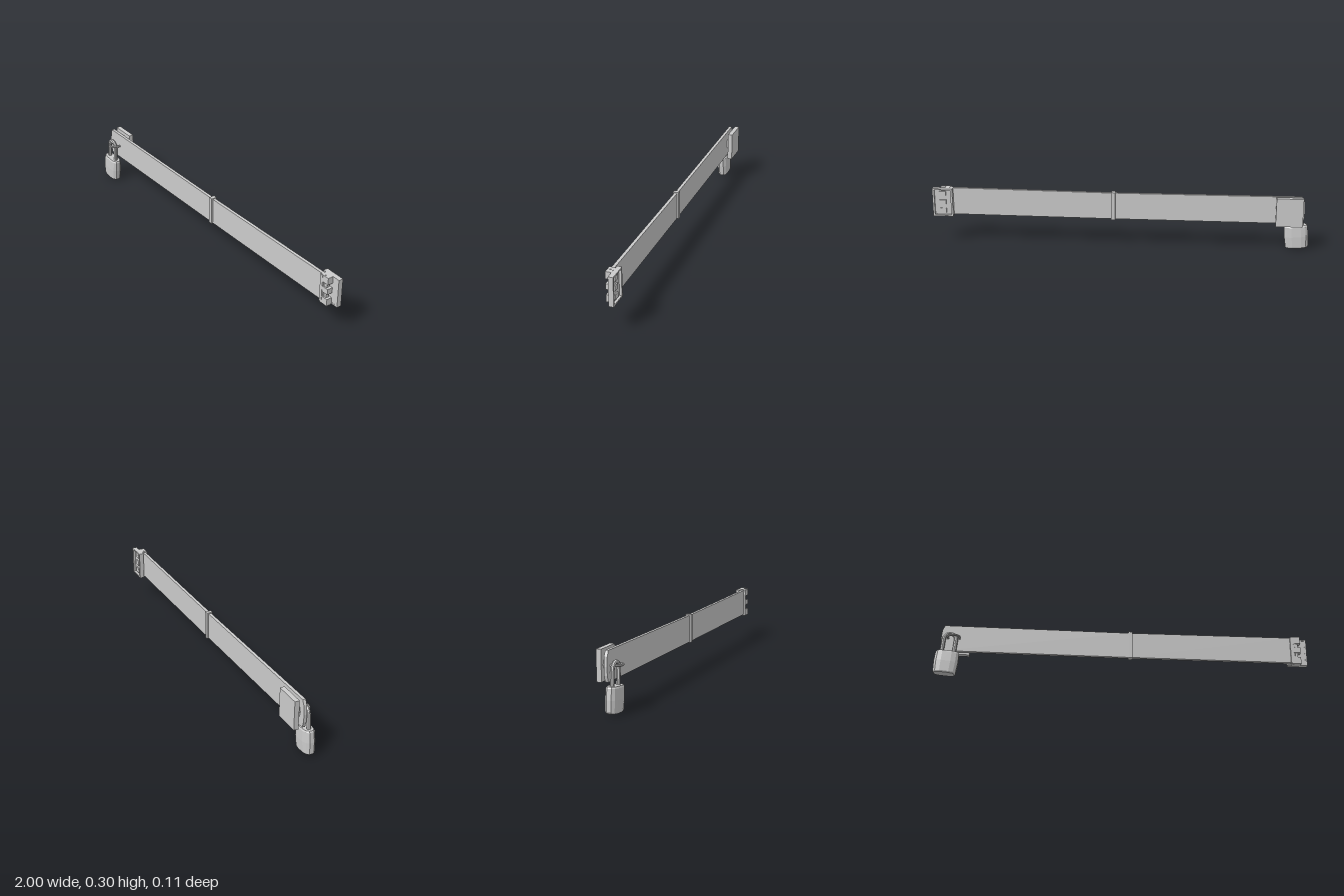
import * as THREE from 'three';

const mat = new THREE.MeshStandardMaterial({ color: 0xcccccc, flatShading: true, side: THREE.DoubleSide });

function add(parent, name, geometry, x = 0, y = 0, z = 0) {
  const mesh = new THREE.Mesh(geometry, mat);
  mesh.name = name;
  mesh.position.set(x, y, z);
  parent.add(mesh);
  return mesh;
}
const box = (parent, name, w, h, d, x, y, z) => add(parent, name, new THREE.BoxGeometry(w, h, d), x, y, z);

function polygon(points) {
  return new THREE.Shape(points.map(([x, y]) => new THREE.Vector2(x, y)));
}

// Flat bar section, leaning slightly backwards toward +x
function barSection(parent, name, points, z0, z1) {
  const g = new THREE.ExtrudeGeometry(polygon(points), { depth: 0.016, bevelEnabled: false });
  const p = g.attributes.position;
  for (let i = 0; i < p.count; i++) {
    const t = (p.getX(i) + 0.97) / 1.9;
    p.setZ(i, p.getZ(i) - 0.008 + z0 + (z1 - z0) * t);
  }
  g.computeVertexNormals();
  add(parent, name, g);
}

function buildHinge() {
  const hinge = new THREE.Group();
  hinge.name = 'hinge';
  // Mounting plate with a rim and three square recesses on its back
  const plate = polygon([[0.89, 0.145], [0.998, 0.145], [0.998, 0.299], [0.89, 0.299]]);
  const recess = polygon([[0.90, 0.153], [0.988, 0.153], [0.988, 0.291], [0.90, 0.291]]);
  plate.holes.push(recess);
  add(hinge, 'hingePlateRim', new THREE.ExtrudeGeometry(plate, { depth: 0.025, bevelEnabled: false }), 0, 0, -0.055);
  box(hinge, 'hingePlateFace', 0.106, 0.152, 0.012, 0.944, 0.222, -0.037);
  for (const y of [0.175, 0.222, 0.269]) box(hinge, 'hingeBackPad', 0.035, 0.026, 0.008, 0.944, y, -0.045);
  // Alternating knuckles around the pin
  for (let i = 0; i < 5; i++) {
    const wide = i % 2 === 0;
    const h = i === 0 || i === 4 ? 0.038 : 0.03;
    const y = [0.161, 0.194, 0.222, 0.25, 0.281][i];
    box(hinge, 'hingeKnuckle', wide ? 0.05 : 0.036, h, wide ? 0.03 : 0.016, wide ? 0.933 : 0.926, y, -0.015);
  }
  const pin = add(hinge, 'hingePin', new THREE.CylinderGeometry(0.008, 0.008, 0.16, 8), 0.925, 0.221, -0.013);
  pin.rotation.y = Math.PI / 8;
  box(hinge, 'hingeLeafEdge', 0.016, 0.15, 0.022, 0.912, 0.222, -0.01);
  return hinge;
}

// Padlock body: chamfered cross-section lofted upward with narrowed ends
function padlockBodyGeometry() {
  const section = [
    [-0.063, -0.012], [-0.05, -0.025], [-0.025, -0.031], [0.025, -0.031], [0.05, -0.025], [0.063, -0.012],
    [0.063, 0.012], [0.05, 0.025], [0.025, 0.031], [-0.025, 0.031], [-0.05, 0.025], [-0.063, 0.012],
  ];
  const levels = [[-0.064, 0.86, 0.82], [-0.057, 0.94, 0.94], [0, 1, 1], [0.053, 0.97, 0.94], [0.061, 0.9, 0.8]];
  const n = section.length, pos = [], idx = [];
  for (const [y, sx, sz] of levels) for (const [x, z] of section) pos.push(x * sx, y, z * sz);
  for (let j = 0; j < levels.length - 1; j++) {
    for (let i = 0; i < n; i++) {
      const a = j * n + i, b = j * n + (i + 1) % n;
      idx.push(a, a + n, b, b, a + n, b + n);
    }
  }
  const top = (levels.length - 1) * n;
  for (let i = 1; i < n - 1; i++) idx.push(0, i, i + 1, top, top + i + 1, top + i);
  const g = new THREE.BufferGeometry();
  g.setAttribute('position', new THREE.Float32BufferAttribute(pos, 3));
  g.setIndex(idx);
  g.computeVertexNormals();
  return g;
}

// U-shaped rod: two straight legs joined by a half circle
function uRod(halfWidth, legLength, radius) {
  const path = new THREE.CurvePath();
  const v = (x, y) => new THREE.Vector3(x, y, 0);
  const k = halfWidth * 1.333;
  path.add(new THREE.LineCurve3(v(-halfWidth, 0), v(-halfWidth, legLength)));
  path.add(new THREE.CubicBezierCurve3(v(-halfWidth, legLength), v(-halfWidth, legLength + k),
    v(halfWidth, legLength + k), v(halfWidth, legLength)));
  path.add(new THREE.LineCurve3(v(halfWidth, legLength), v(halfWidth, 0)));
  return new THREE.TubeGeometry(path, 30, radius, 8, false);
}

export function createModel() {
  const model = new THREE.Group();
  model.name = 'lockingBar';

  // Two bar sections meeting under the centre band
  barSection(model, 'leftBar', [[-0.96, 0.149], [0.035, 0.147], [0.035, 0.291], [-0.955, 0.296],
    [-0.967, 0.27], [-0.972, 0.222], [-0.969, 0.18]], -0.003, -0.017);
  barSection(model, 'rightBar', [[0.035, 0.147], [0.92, 0.149], [0.92, 0.297], [0.035, 0.291]], -0.003, -0.017);
  box(model, 'centreBand', 0.022, 0.152, 0.032, 0.033, 0.22, -0.011);

  model.add(buildHinge());

  // Backing plate and staple passing through the bar
  box(model, 'staplePlate', 0.14, 0.154, 0.025, -0.89, 0.222, -0.0425);
  box(model, 'stapleBase', 0.07, 0.05, 0.025, -0.9, 0.22, -0.02);
  const staple = add(model, 'staple', uRod(0.03, 0.05, 0.006), -0.905, 0.222, -0.03);
  staple.rotation.x = Math.PI / 2;

  // Padlock hanging from the staple at a slight tilt
  const padlock = new THREE.Group();
  padlock.name = 'padlock';
  add(padlock, 'padlockBody', padlockBodyGeometry());
  add(padlock, 'shackle', uRod(0.032, 0.092, 0.0105), 0, 0.045, 0);
  padlock.position.set(-0.935, 0.07, 0.024);
  padlock.rotation.z = -0.09;
  model.add(padlock);

  return model;
}
